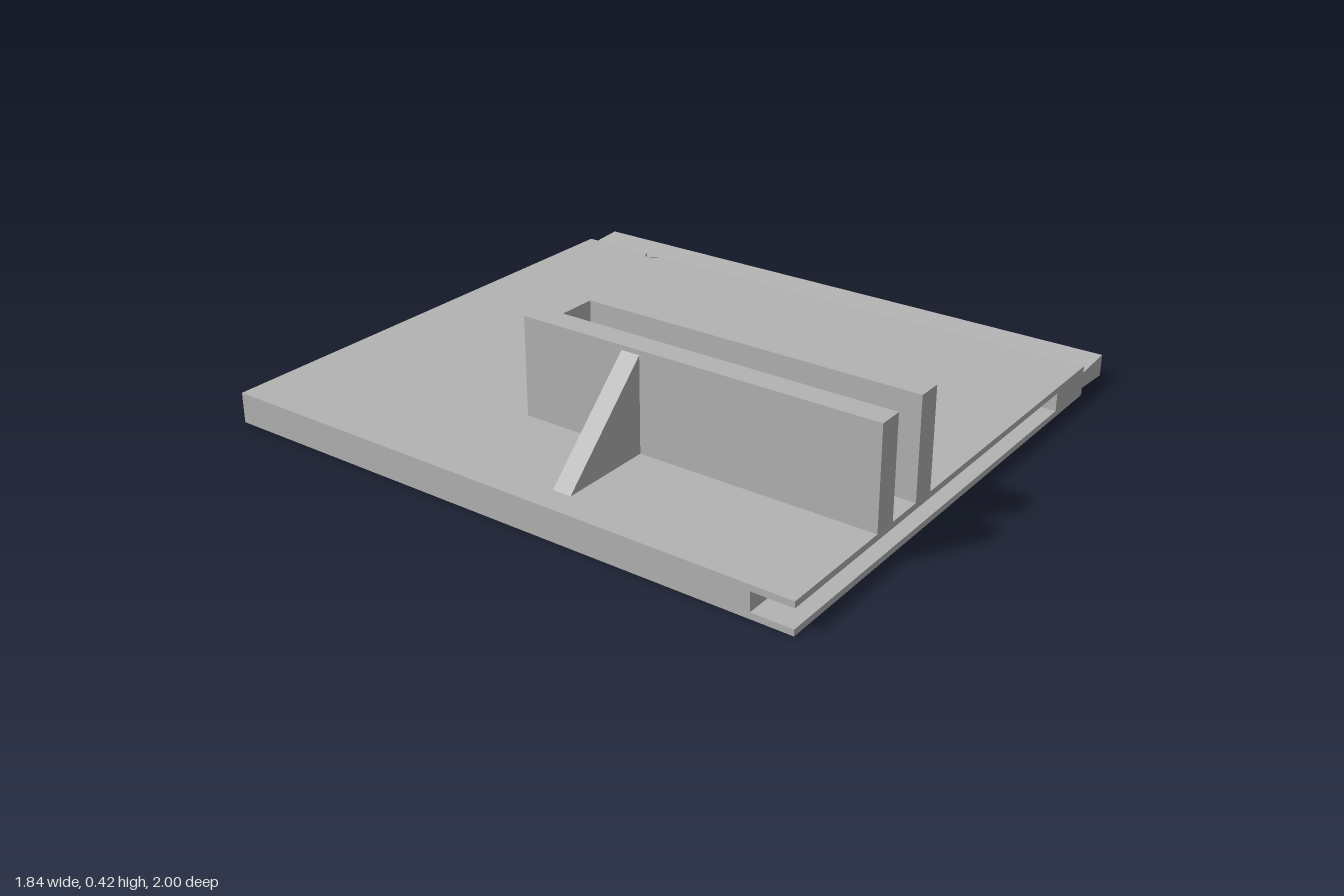
import * as THREE from 'three';

const EDGE = 0.775;            // seam between plate and side strip
const HOLE = { z: -0.70, r: 0.033 };

// Shape from [x, z] points in plan
function plan(points) {
  return new THREE.Shape(points.map(([x, z]) => new THREE.Vector2(x, -z)));
}

// Extrude a plan shape upwards from y0 to y1
function slab(points, y0, y1) {
  const g = new THREE.ExtrudeGeometry(plan(points), { depth: y1 - y0, bevelEnabled: false });
  g.rotateX(-Math.PI / 2);
  g.translate(0, y0, 0);
  return g;
}

// Half-round notch on the seam, running from front to back; side -1 cuts the plate, +1 the strip
function notch(side) {
  const pts = [];
  for (let i = 0; i <= 16; i++) {
    const a = Math.PI * i / 16;
    pts.push([EDGE + side * HOLE.r * Math.sin(a), HOLE.z + HOLE.r * Math.cos(a)]);
  }
  return pts;
}

export function createModel() {
  const model = new THREE.Group();
  const grey = new THREE.MeshStandardMaterial({ color: 0xb3b3b3 });
  grey.name = 'plain grey';
  const add = (name, geometry) => {
    const mesh = new THREE.Mesh(geometry, grey);
    mesh.name = name;
    model.add(mesh);
  };

  // Plate in three layers; the middle one leaves a slot along the front
  const right = [[EDGE, 1], ...notch(-1), [EDGE, -1], [-0.92, -1]];
  const full = [[-0.92, 1], ...right];
  const slotted = [[-0.92, 0.87], [0.58, 0.87], [0.58, 1], ...right];
  add('plateBottom', slab(full, 0, 0.02));
  add('plateCore', slab(slotted, 0.02, 0.08));
  add('plateTop', slab(full, 0.08, 0.10));

  // Side strip, thickening towards its outer edge
  const strip = slab([[EDGE, 1], [0.92, 1], [0.92, -1], [EDGE, -1], ...notch(1).reverse()], 0, 1);
  const p = strip.attributes.position;
  for (let i = 0; i < p.count; i++) {
    const t = (p.getX(i) - EDGE) / (0.92 - EDGE);
    const half = 0.027 + 0.009 * t;
    p.setY(i, 0.0515 + (p.getY(i) * 2 - 1) * half);
  }
  strip.computeVertexNormals();
  add('sideStrip', strip);

  // U-shaped holder, open at the front
  add('holder', slab([
    [-0.525, 1], [-0.445, 1], [-0.445, -0.11], [-0.32, -0.11],
    [-0.32, 1], [-0.24, 1], [-0.24, -0.19], [-0.525, -0.19],
  ], 0.10, 0.42));

  // Triangular brace against the holder
  const tri = new THREE.Shape([
    new THREE.Vector2(-0.835, 0.10), new THREE.Vector2(-0.525, 0.10), new THREE.Vector2(-0.525, 0.405),
  ]);
  const brace = new THREE.ExtrudeGeometry(tri, { depth: 0.062, bevelEnabled: false });
  brace.translate(0, 0, 0.167);
  add('brace', brace);

  return model;
}
